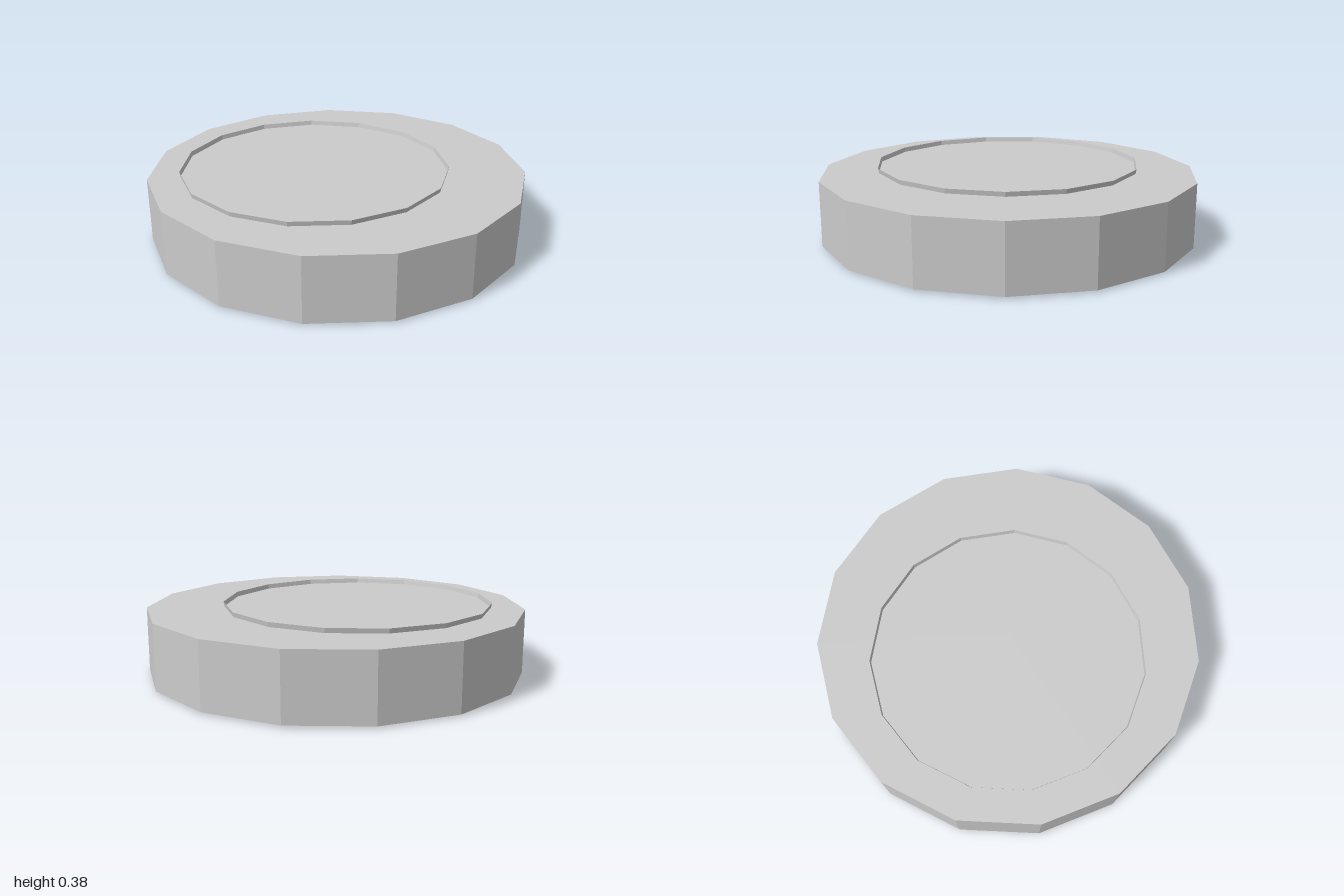
import * as THREE from 'three';

const SIDES = 15;

export function createModel() {
  const model = new THREE.Group();
  const material = new THREE.MeshStandardMaterial({
    color: 0xcccccc, flatShading: true, side: THREE.DoubleSide,
  });

  // Faceted drum with a closed top plate and a hollow underside
  const profile = [
    [0, 0.32], [0.86, 0.32], [0.86, 0.008], [1.005, 0.008], [1.005, 0.35], [0, 0.35],
  ].map(([r, y]) => new THREE.Vector2(r, y));
  const drum = new THREE.Mesh(new THREE.LatheGeometry(profile, SIDES), material);
  drum.name = 'drum';
  drum.position.z = -0.011;
  model.add(drum);

  // Open, flattened half-sphere set off centre; its thin rim stands above the plate
  const bowlRadius = 0.719, bowlDepth = 0.375;
  const bowlGeometry = new THREE.SphereGeometry(
    bowlRadius, SIDES, 8, Math.PI / 2, Math.PI * 2, Math.PI / 2, Math.PI / 2);
  bowlGeometry.scale(1, bowlDepth / bowlRadius, 1);
  const bowl = new THREE.Mesh(bowlGeometry, material);
  bowl.name = 'bowl';
  bowl.position.set(-0.115, bowlDepth, -0.043);
  model.add(bowl);

  return model;
}
